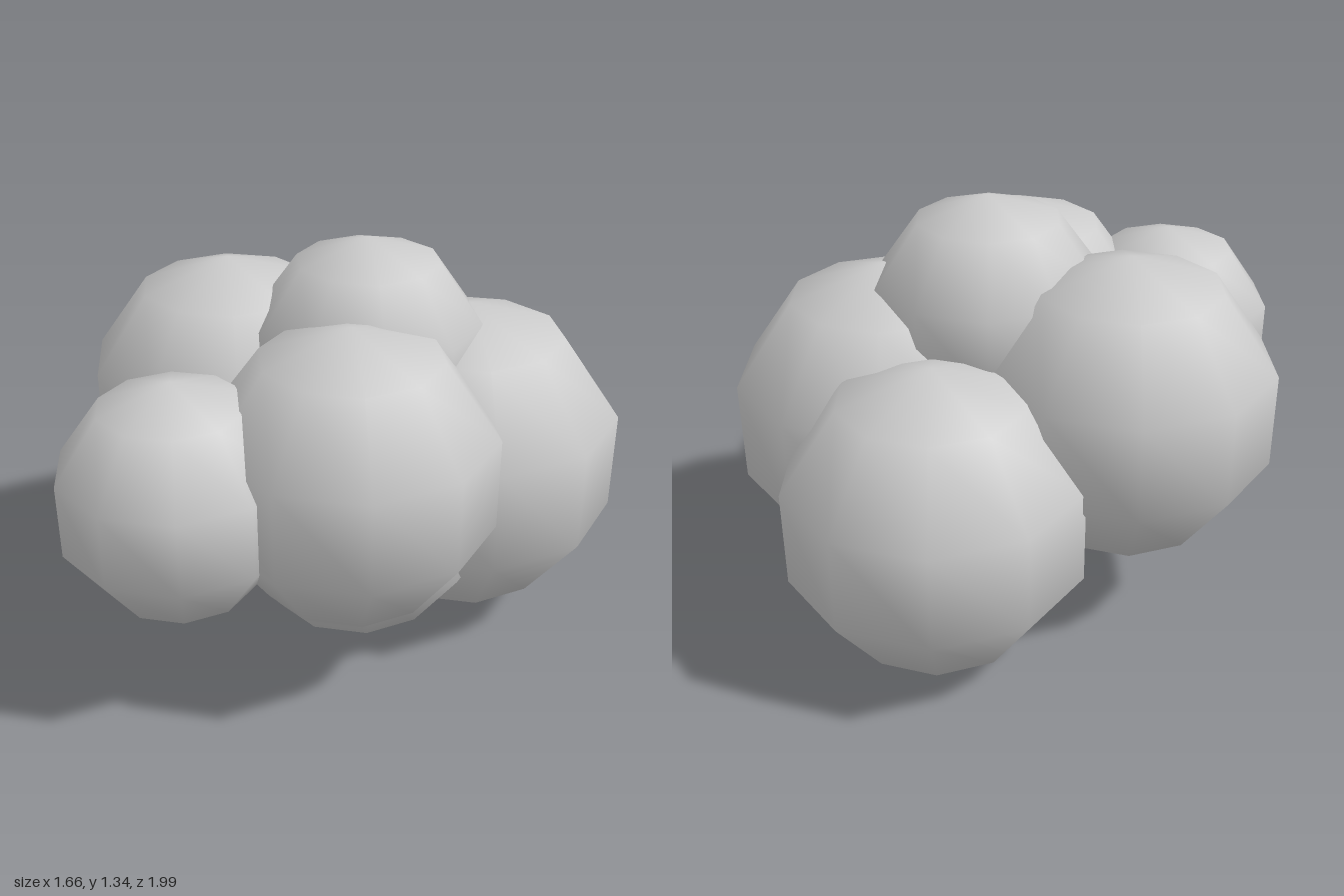
import * as THREE from 'three';

// Cluster of low-poly, smooth-shaded puffs: [name, x, y, z, radius]
const PUFFS = [
  ['rightPuff', -0.39, 0.735, 0.02, 0.486],
  ['frontPuff', -0.18, 0.705, 0.64, 0.375],
  ['frontLeftPuff', 0.22, 0.735, 0.303, 0.47],
  ['leftPuff', 0.353, 0.59, -0.243, 0.525],
  ['topPuff', 0.08, 0.955, -0.06, 0.388],
  ['backPuff', -0.062, 0.494, -0.532, 0.49],
  ['bottomPuff', 0.093, 0.5, 0.03, 0.485],
];

export function createModel() {
  const group = new THREE.Group();
  group.name = 'puffCluster';
  const material = new THREE.MeshStandardMaterial({ color: 0xcccccc });

  // Ten-sided sphere with a corner facing forward
  const sphere = new THREE.SphereGeometry(1, 10, 5, Math.PI / 2);

  for (const [name, x, y, z, radius] of PUFFS) {
    const puff = new THREE.Mesh(sphere, material);
    puff.name = name;
    puff.position.set(x, y, z);
    puff.scale.setScalar(radius);
    group.add(puff);
  }
  return group;
}
